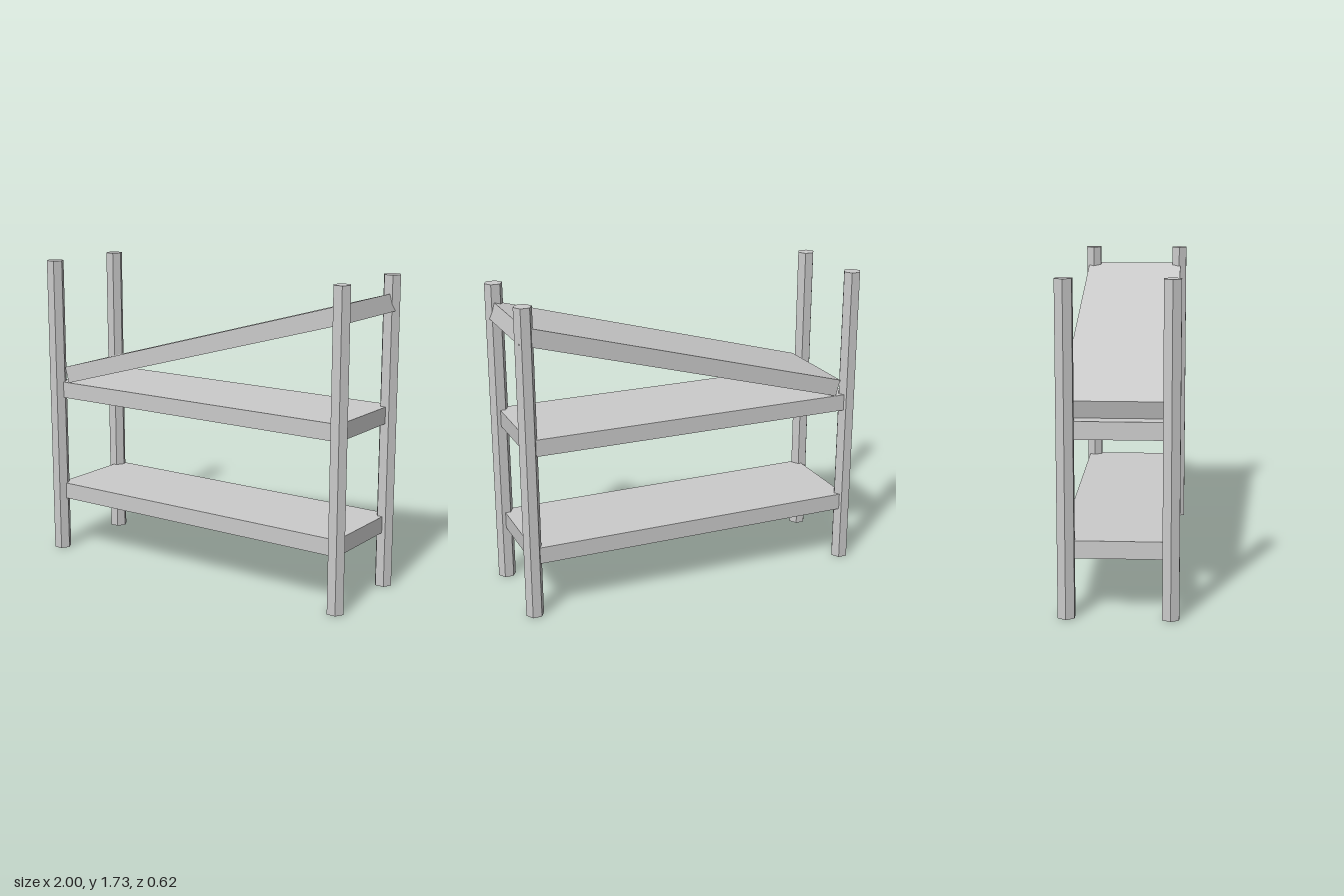
import * as THREE from 'three';

export function createModel() {
  const group = new THREE.Group();
  const material = new THREE.MeshStandardMaterial({ color: 0xcccccc, flatShading: true });

  const add = (name, geometry, x, y, z) => {
    const mesh = new THREE.Mesh(geometry, material);
    mesh.name = name;
    mesh.position.set(x, y, z);
    group.add(mesh);
    return mesh;
  };

  // Four hexagonal corner posts, with a corner of each hexagon pointing sideways
  const postHeight = 1.73;
  const postGeometry = new THREE.CylinderGeometry(0.05, 0.05, postHeight, 6);
  postGeometry.rotateY(Math.PI / 2);
  for (const [side, x] of [['Left', 0.95], ['Right', -0.95]]) {
    for (const [end, z] of [['front', 0.266], ['back', -0.266]]) {
      add(`${end}${side}Post`, postGeometry, x, postHeight / 2, z);
    }
  }

  // Two level shelves, set slightly towards the back
  const depth = 0.57, shelfZ = -0.011;
  const shelfGeometry = new THREE.BoxGeometry(1.9, 0.093, depth);
  add('lowerShelf', shelfGeometry, 0.005, 0.357, shelfZ);
  add('middleShelf', shelfGeometry, 0.005, 0.973, shelfZ);

  // Top shelf, fallen at one end
  const topShelf = add('slantedTopShelf', new THREE.BoxGeometry(1.92, 0.095, depth), 0.049, 1.325, shelfZ);
  topShelf.rotation.z = THREE.MathUtils.degToRad(15.7);

  return group;
}
